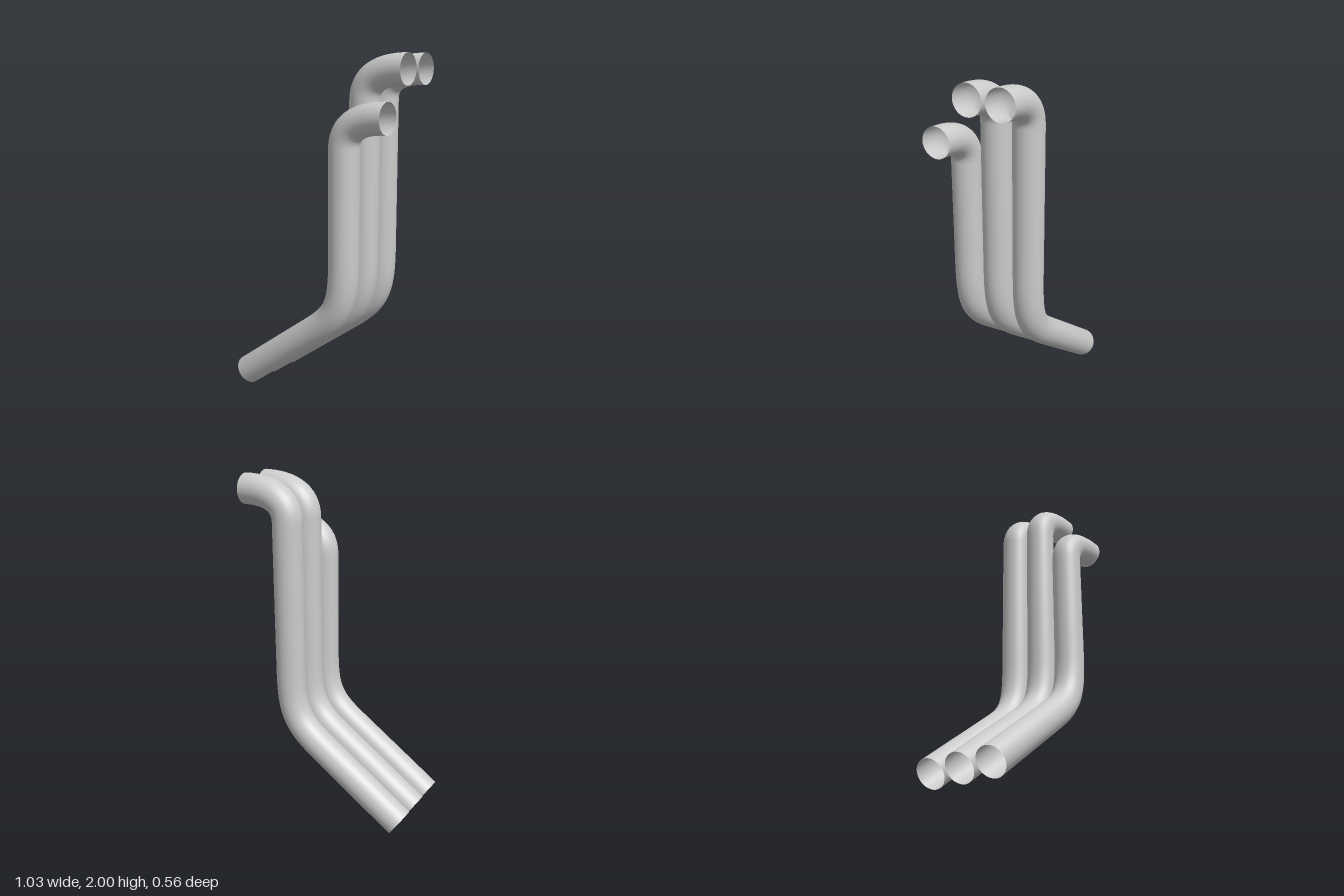
import * as THREE from 'three';

const RADIUS = 0.086;
const STEM_X = 0.247;

// Centre line: sloped run, lower bend, upright stem, upper elbow
function pipePath(topY) {
  const v = (x, y) => new THREE.Vector3(x, y, 0);
  const start = v(-0.468, 0.071), bendIn = v(0.04, 0.432), corner = v(STEM_X, 0.579), bendOut = v(STEM_X, 0.89);
  const elbowIn = v(STEM_X, topY - 0.167), elbowCorner = v(STEM_X, topY), end = v(0.515, topY);
  const path = new THREE.CurvePath();
  path.add(new THREE.LineCurve3(start, bendIn));
  path.add(new THREE.CubicBezierCurve3(
    bendIn, bendIn.clone().lerp(corner, 0.85), bendOut.clone().lerp(corner, 0.85), bendOut));
  path.add(new THREE.LineCurve3(bendOut, elbowIn));
  path.add(new THREE.QuadraticBezierCurve3(elbowIn, elbowCorner, end));
  return path;
}

export function createModel() {
  const group = new THREE.Group();
  group.name = 'bentPipes';
  // Open thin-walled pipes, visible inside and out
  const material = new THREE.MeshStandardMaterial({ color: 0xcccccc, side: THREE.DoubleSide });

  const pipes = [
    ['frontShortPipe', 0.195, 1.667],
    ['middleTallPipe', -0.002, 1.914],
    ['backTallPipe', -0.195, 1.914],
  ];
  for (const [name, z, topY] of pipes) {
    const pipe = new THREE.Mesh(new THREE.TubeGeometry(pipePath(topY), 120, RADIUS, 40, false), material);
    pipe.name = name;
    pipe.position.z = z;
    group.add(pipe);
  }
  return group;
}
